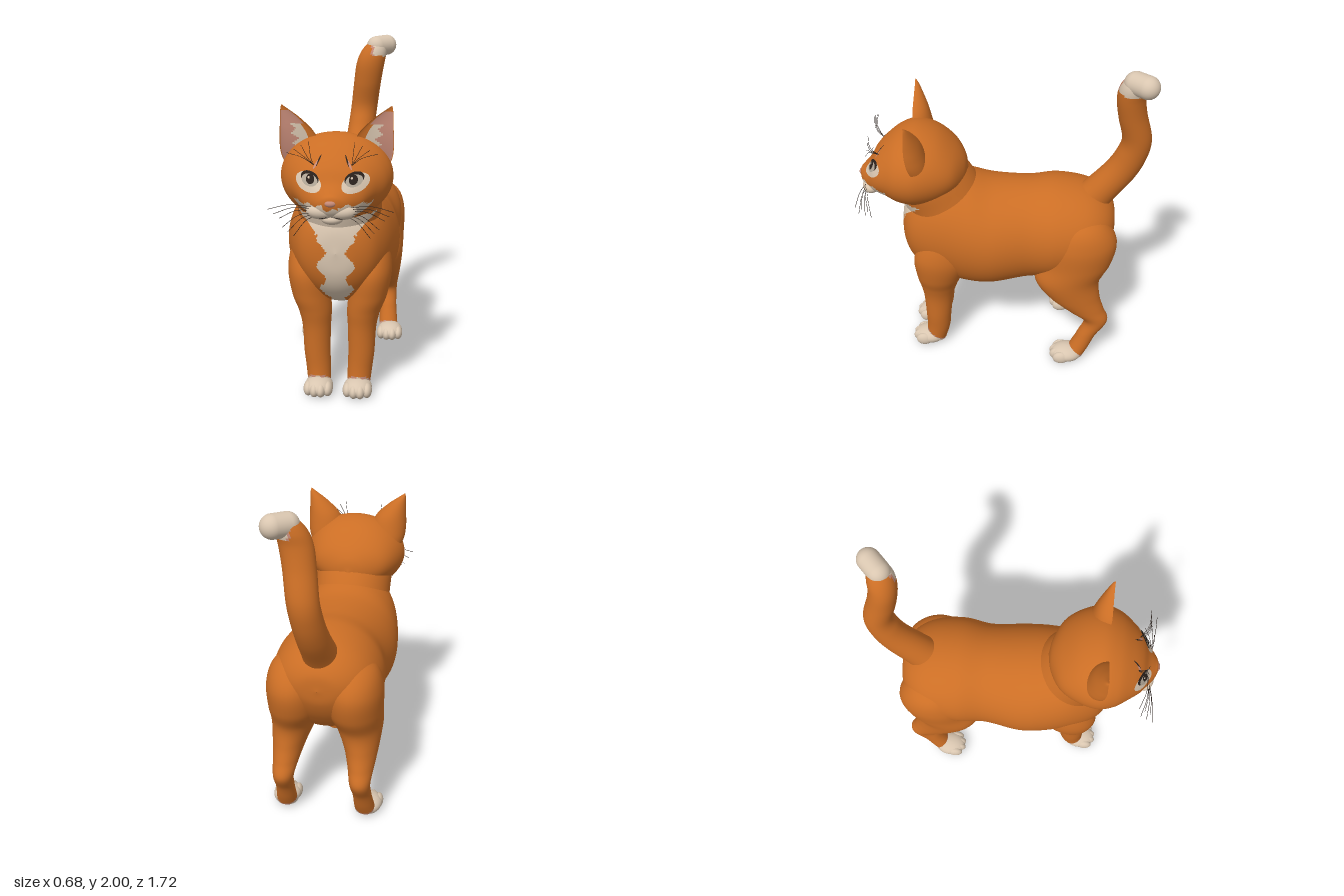
import * as THREE from 'three';

const mat = (name, color) => Object.assign(new THREE.MeshStandardMaterial({ color }), { name });

export function createModel() {
  const cat = new THREE.Group();
  cat.name = 'cat';
  const palette = [
    mat('orangeFur', 0xcb6e25), mat('creamFur', 0xd9c6b0), mat('pinkSkin', 0xc58a78),
    mat('darkLine', 0x2a211c), mat('irisGrey', 0xb3a898),
  ];
  const [ORANGE, CREAM, PINK, DARK, IRIS] = [0, 1, 2, 3, 4];

  const add = (name, geometry, material) => {
    const mesh = new THREE.Mesh(geometry, material);
    mesh.name = name;
    cat.add(mesh);
    return mesh;
  };

  // Smooth skin over elliptical sections [x, y, z, tiltDegrees, halfWidth, halfDepth].
  // paint(point, angle) picks the palette index of each facet; front scales the lower half of a ring.
  function loft(name, rows, rings, sides, paint = () => ORANGE, front = 1) {
    const centre = new THREE.CatmullRomCurve3(rows.map(r => new THREE.Vector3(r[0], r[1], r[2])), false, 'catmullrom');
    const size = new THREE.CatmullRomCurve3(rows.map(r => new THREE.Vector3(r[3], r[4], r[5])), false, 'catmullrom');
    const pos = [];
    for (let i = 0; i <= rings; i++) {
      const c = centre.getPoint(i / rings), s = size.getPoint(i / rings);
      const tilt = THREE.MathUtils.degToRad(s.x);
      for (let j = 0; j < sides; j++) {
        const t = (j / sides) * Math.PI * 2;
        const across = Math.max(s.y, 0.001) * Math.cos(t);
        const deep = Math.max(s.z, 0.001) * Math.sin(t) * (Math.sin(t) < 0 ? front : 1);
        pos.push(c.x + across, c.y + deep * Math.cos(tilt), c.z + deep * Math.sin(tilt));
      }
    }
    const buckets = palette.map(() => []);
    const at = k => new THREE.Vector3().fromArray(pos, k * 3);
    for (let i = 0; i < rings; i++) {
      for (let j = 0; j < sides; j++) {
        const a = i * sides + j, b = i * sides + (j + 1) % sides, c = a + sides, d = b + sides;
        const mid = at(a).add(at(b)).add(at(c)).add(at(d)).multiplyScalar(0.25);
        buckets[paint(mid, ((j + 0.5) / sides) * Math.PI * 2)].push(a, b, c, b, d, c);
      }
    }
    const g = new THREE.BufferGeometry();
    g.setAttribute('position', new THREE.Float32BufferAttribute(pos, 3));
    g.setIndex(buckets.flat());
    let start = 0;
    buckets.forEach((b, k) => {
      if (b.length) g.addGroup(start, b.length, k);
      start += b.length;
    });
    g.computeVertexNormals();
    return add(name, g, palette);
  }

  function ellipsoid(name, c, r, colour) {
    const g = new THREE.SphereGeometry(1, 28, 20).scale(...r).translate(...c);
    const p = g.attributes.position;
    for (let i = 0; i < p.count; i++) p.setY(i, Math.max(0, p.getY(i)));
    g.computeVertexNormals();
    add(name, g, palette[colour]);
  }

  function strand(name, points, radius) {
    const curve = new THREE.CatmullRomCurve3(points.map(p => new THREE.Vector3(...p)));
    add(name, new THREE.TubeGeometry(curve, 10, radius, 5), palette[DARK]);
  }

  // Ragged cream bib on chest and throat, cream belly
  const bibWidth = y => (y > 1 ? 0.11 + (y - 1) * 0.9 : 0.08 + 0.025 * Math.sin(y * 40)) * Math.min(1, y / 0.75);
  const coat = p => {
    if (p.z > 0.36 && p.y < 1.12 && Math.abs(p.x) < bibWidth(p.y)) return CREAM;
    if (p.y < 0.55 + 0.008 * Math.sin(p.z * 60) && p.z > -0.2) return CREAM;
    if (p.x < 0 && p.y > 0.57 && p.y < 0.61 && p.z > -0.12 && p.z < -0.01) return PINK;
    return ORANGE;
  };

  // Trunk from rump to chest, then the neck
  loft('body', [
    [0, 0.95, -0.69, 0, 0.002, 0.002], [0, 0.95, -0.675, 0, 0.13, 0.1], [0, 0.93, -0.61, 0, 0.235, 0.2],
    [0, 0.9, -0.5, 0, 0.305, 0.285], [0, 0.89, -0.33, 0, 0.325, 0.32], [0, 0.87, -0.16, 0, 0.305, 0.325],
    [0, 0.85, 0.05, 0, 0.332, 0.35], [0, 0.87, 0.2, 0, 0.325, 0.37], [0, 0.9, 0.35, 0, 0.295, 0.365],
    [0, 0.9, 0.47, 0, 0.25, 0.31], [0, 0.9, 0.55, 0, 0.195, 0.23], [0, 0.9, 0.595, 0, 0.11, 0.13],
    [0, 0.9, 0.61, 0, 0.002, 0.002],
  ], 110, 80, coat);
  loft('neck', [
    [0, 0.88, 0.27, -60, 0.25, 0.27], [0, 1.1, 0.36, -60, 0.24, 0.24],
    [0, 1.24, 0.43, -60, 0.24, 0.215], [0, 1.36, 0.48, -60, 0.2, 0.18],
  ], 44, 72, coat);

  // Head with cream muzzle
  const muzzleTop = x => (Math.abs(x) > 0.04 ? 1.228 : 1.21) + 0.008 * Math.sin(x * 90);
  const head = loft('head', [
    [0, 1.29, 0.2, 0, 0.002, 0.002], [0, 1.29, 0.22, 0, 0.1, 0.08], [0, 1.31, 0.28, 0, 0.21, 0.14],
    [0, 1.32, 0.38, 0, 0.277, 0.21], [0, 1.325, 0.5, 0, 0.31, 0.24], [0, 1.315, 0.6, 0, 0.285, 0.22],
    [0, 1.3, 0.68, 0, 0.23, 0.175], [0, 1.275, 0.74, 0, 0.18, 0.135], [0, 1.245, 0.78, 0, 0.13, 0.095],
    [0, 1.235, 0.82, 0, 0.08, 0.06], [0, 1.24, 0.84, 0, 0.04, 0.035], [0, 1.24, 0.848, 0, 0.002, 0.002],
  ], 80, 80, p => (p.z > 0.67 && p.y < muzzleTop(p.x) ? CREAM : ORANGE));

  // Thin painted ovals that follow the face
  head.updateMatrixWorld(true);
  const ray = new THREE.Raycaster();
  const faceZ = (x, y) => {
    ray.set(new THREE.Vector3(x, y, 2), new THREE.Vector3(0, 0, -1));
    const hit = ray.intersectObject(head)[0];
    return hit ? hit.point.z : 0.5;
  };
  function faceOval(name, x, y, rx, ry, turn, lift, colour) {
    const g = new THREE.RingGeometry(0.001, 1, 24, 2).scale(rx, ry, 1).rotateZ(turn).translate(x, y, 0);
    const p = g.attributes.position;
    for (let i = 0; i < p.count; i++) p.setZ(i, faceZ(p.getX(i), p.getY(i)) + lift);
    g.computeVertexNormals();
    add(name, g, palette[colour]);
  }

  for (const s of [1, -1]) {
    const side = s > 0 ? 'left' : 'right';
    const rows = list => list.map(([x, ...rest]) => [s * x, ...rest]);

    // Eyes
    faceOval(side + 'EyePatch', s * 0.125, 1.338, 0.074, 0.048, s * 0.3, 0.002, CREAM);
    faceOval(side + 'EyeRim', s * 0.118, 1.36, 0.051, 0.034, s * 0.25, 0.004, DARK);
    faceOval(side + 'Iris', s * 0.118, 1.35, 0.045, 0.03, s * 0.2, 0.006, IRIS);
    faceOval(side + 'Pupil', s * 0.114, 1.356, 0.023, 0.025, 0, 0.008, DARK);
    faceOval(side + 'EyeGlint', s * 0.114 - 0.008, 1.364, 0.006, 0.006, 0, 0.0095, CREAM);
    faceOval(side + 'BrowMark', s * 0.09, 1.425, 0.005, 0.025, s * 0.5, 0.003, PINK);
    faceOval(side + 'BrowStripe', s * 0.075, 1.445, 0.0035, 0.03, s * 0.4, 0.003, DARK);

    // Muzzle pads and mouth
    ellipsoid(side + 'MuzzlePad', [s * 0.056, 1.19, 0.775], [0.08, 0.045, 0.055], CREAM);
    strand(side + 'Mouth', [[0, 1.215, 0.835], [s * 0.012, 1.175, 0.812], [s * 0.05, 1.158, 0.812], [s * 0.095, 1.166, 0.793]], 0.004);

    // Whiskers
    for (let i = 0; i < 6; i++) {
      const y = 1.215 - i * 0.01, reach = 0.33 - i * 0.025;
      strand(side + 'Whisker', [[s * 0.09, y, 0.8], [s * (reach * 0.65), y + 0.015 - i * 0.008, 0.82 - (i % 3) * 0.012],
        [s * reach, y - 0.01 - i * 0.022, 0.83 - (i % 3) * 0.03]], 0.0014);
    }
    for (let i = 0; i < 4; i++) {
      strand(side + 'BrowWhisker', [[s * 0.1, 1.42, 0.71], [s * (0.11 + i * 0.016), 1.47, 0.755],
        [s * (0.12 + i * 0.04), 1.555 - i * 0.02, 0.76]], 0.0012);
    }

    // Cupped ears: pink skin with a tuft of cream fur
    loft(side + 'Ear', rows([
      [0.18, 1.34, 0.48, -90, 0.09, 0.08], [0.197, 1.43, 0.515, -90, 0.107, 0.1], [0.203, 1.5, 0.53, -90, 0.109, 0.1],
      [0.218, 1.57, 0.535, -90, 0.092, 0.085], [0.252, 1.64, 0.532, -90, 0.055, 0.05],
      [0.285, 1.69, 0.53, -90, 0.02, 0.02], [0.298, 1.712, 0.53, -90, 0.002, 0.002],
    ]), 44, 48, (p, t) => {
      const c = s * Math.cos(t);
      if (Math.sin(t) > 0 || c < -0.8 || c > 0.96 || p.y > 1.68) return ORANGE;
      return c < 0.2 + 0.2 * Math.sin(p.y * 110) && p.y < 1.61 ? (c < -0.55 ? ORANGE : CREAM) : PINK;
    }, -0.2);

    // Legs: cream socks with a thin pink edge
    const sock = z0 => p => {
      const h = p.y - 0.06 - (p.z - z0) * 0.7;
      return h < 0 ? CREAM : h < 0.012 ? PINK : ORANGE;
    };
    loft(side + 'FrontLeg', rows([
      [0.18, 1.0, 0.3, 90, 0.03, 0.04], [0.185, 0.9, 0.32, 90, 0.09, 0.13], [0.182, 0.75, 0.355, 90, 0.12, 0.175],
      [0.165, 0.6, 0.385, 90, 0.112, 0.14], [0.142, 0.5, 0.395, 90, 0.097, 0.113], [0.133, 0.4, 0.4, 90, 0.083, 0.092],
      [0.13, 0.25, 0.405, 90, 0.077, 0.08], [0.122, 0.14, 0.41, 90, 0.072, 0.074], [0.115, 0.03, 0.43, 90, 0.066, 0.065],
    ]), 64, 36, sock(0.42));
    loft(side + 'HindLeg', rows([
      [0.14, 1.1, -0.45, 90, 0.04, 0.06], [0.165, 1.02, -0.475, 90, 0.13, 0.155], [0.17, 0.9, -0.475, 90, 0.168, 0.222],
      [0.175, 0.75, -0.455, 90, 0.163, 0.22], [0.195, 0.62, -0.41, 90, 0.138, 0.2], [0.215, 0.5, -0.455, 90, 0.105, 0.16],
      [0.225, 0.4, -0.53, 90, 0.08, 0.115], [0.23, 0.31, -0.6, 90, 0.062, 0.075], [0.235, 0.2, -0.55, 90, 0.056, 0.06],
      [0.24, 0.1, -0.505, 90, 0.06, 0.062], [0.245, 0.03, -0.47, 90, 0.064, 0.062],
    ]), 76, 36, sock(-0.49));

    // Paws with four soft toes each
    for (const [name, x, z] of [['FrontPaw', 0.115, 0.47], ['HindPaw', 0.255, -0.425]]) {
      ellipsoid(side + name, [s * x, 0.047, z], [0.083, 0.056, 0.1], CREAM);
      for (let i = 0; i < 4; i++) {
        const off = (i - 1.5) * 0.038, outer = i === 0 || i === 3;
        ellipsoid(side + name + 'Toe', [s * x + off, 0.042, z + (outer ? 0.035 : 0.055)], [0.029, 0.043, 0.052], CREAM);
      }
    }
  }

  // Nose and chin
  ellipsoid('nose', [0, 1.243, 0.838], [0.03, 0.018, 0.018], PINK);
  ellipsoid('chin', [0, 1.143, 0.755], [0.06, 0.032, 0.05], CREAM);

  // Raised tail with a cream tip bending to the left
  loft('tail', [
    [0, 1.04, -0.5, -130, 0.11, 0.12], [0.01, 1.16, -0.59, -128, 0.097, 0.1], [0.02, 1.3, -0.695, -120, 0.09, 0.094],
    [0.033, 1.42, -0.752, -106, 0.088, 0.09], [0.048, 1.54, -0.773, -90, 0.088, 0.085], [0.07, 1.7, -0.735, -80, 0.09, 0.081],
    [0.09, 1.82, -0.716, -86, 0.092, 0.08], [0.113, 1.9, -0.722, -92, 0.083, 0.075], [0.132, 1.955, -0.735, -95, 0.052, 0.05],
    [0.14, 1.972, -0.74, -95, 0.002, 0.002],
  ], 80, 36, p => (p.y > 1.87 && p.x > 0.1 ? (p.x < 0.115 ? PINK : CREAM) : ORANGE));
  const tip = add('tailTip', new THREE.CapsuleGeometry(0.066, 0.085, 12, 28).rotateZ(Math.PI / 2), palette[CREAM]);
  tip.rotation.set(0, Math.PI / 4, 0.06);
  tip.position.set(0.16, 1.933, -0.759);

  return cat;
}
